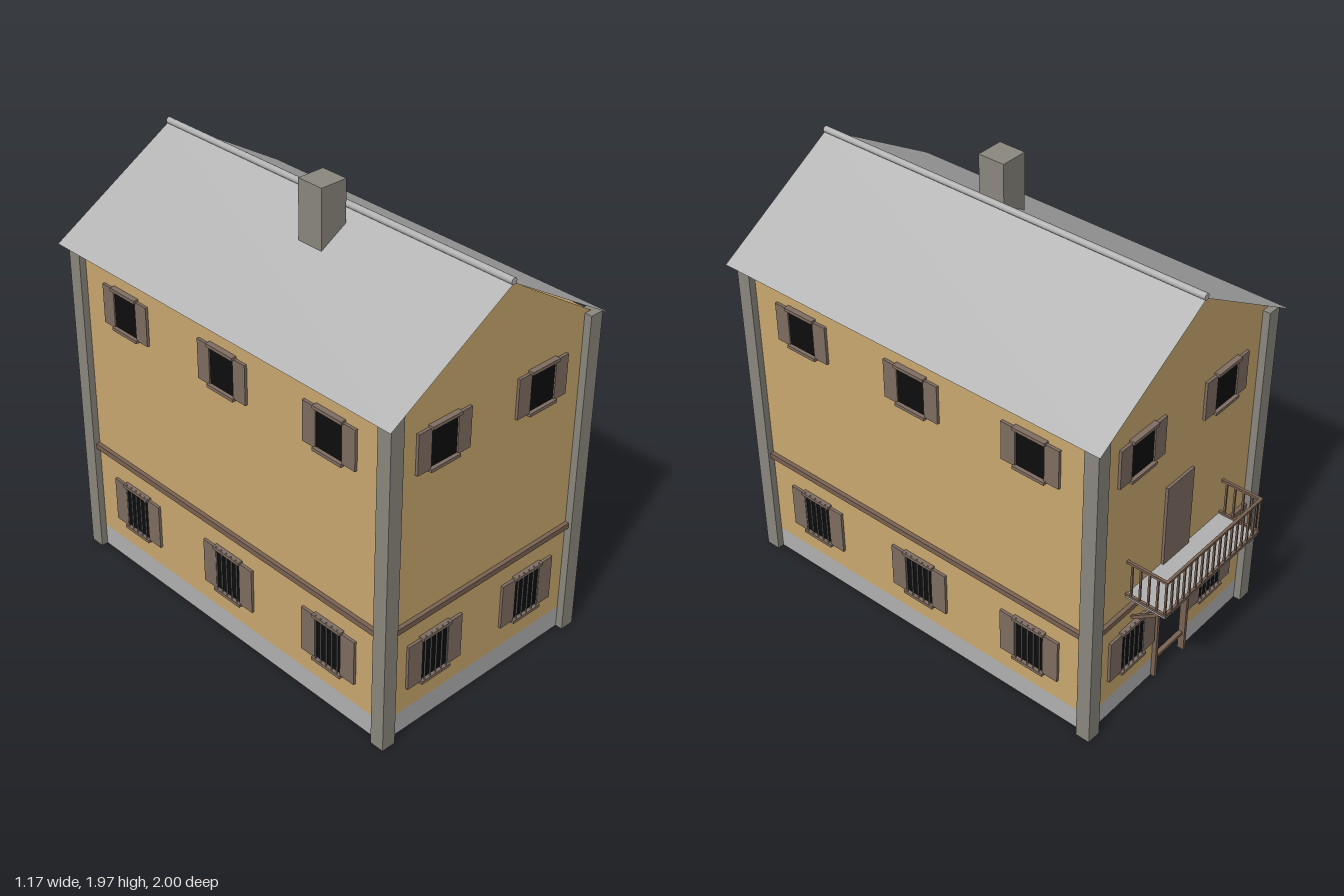
import * as THREE from 'three';

const DS = { side: THREE.DoubleSide };
const paint = (name, color, extra = {}) => {
  const m = new THREE.MeshStandardMaterial({ color, ...extra });
  m.name = name;
  return m;
};

export function createModel() {
  const plaster = paint('ochre plaster', 0xcaa970, DS);
  const slate = paint('light grey', 0xb2b2b2, DS);
  const stone = paint('grey stone', 0x8c887f);
  const wood = paint('brown wood', 0x806e62, DS);
  const trim = paint('dark brown trim', 0x7a6353);
  const glass = paint('black glass', 0x0d0d0d);
  const iron = paint('iron bars', 0x9a9a9a);

  const house = new THREE.Group();
  house.name = 'house';

  const add = (parent, name, geo, mat, x = 0, y = 0, z = 0) => {
    const m = new THREE.Mesh(geo, mat);
    m.name = name;
    m.position.set(x, y, z);
    parent.add(m);
    return m;
  };
  const box = (parent, name, mat, w, h, d, x, y, z) =>
    add(parent, name, new THREE.BoxGeometry(w, h, d), mat, x, y, z);

  const HX = 0.525, HZ = 0.875, CZ = 0.065; // wall half sizes and centre
  const EAVE = 1.49, APEX = 1.82, BASE = 0.1, DOOR = 0.1, DOOR_TOP = 0.45;

  // Window with open shutters; ground floor ones also get iron bars
  function addWindow(wall, u, y0, y1, width, shutter, barred) {
    const g = new THREE.Group();
    g.name = barred ? 'barredWindow' : 'window';
    g.position.set(u, (y0 + y1) / 2, 0);
    wall.add(g);
    const h = y1 - y0;
    box(g, 'pane', glass, width, h, 0.008, 0, 0, 0.004);
    for (const s of [-1, 1]) {
      box(g, 'shutter', wood, shutter, h, 0.012, s * (width + shutter) / 2, 0, 0.008);
      box(g, 'sill', wood, width + 0.015, 0.014, 0.024, 0, s * (h / 2 + 0.002), 0.012);
    }
    if (!barred) return;
    for (let i = -2; i <= 2; i++)
      add(g, 'bar', new THREE.CylinderGeometry(0.003, 0.003, h + 0.025, 6), iron, i * 0.03, 0.002, 0.018);
  }

  // One facade in local space: u along the wall, z outward
  function addFacade(name, half, gable, hasDoor, windows, angle, x, z) {
    const wall = new THREE.Group();
    wall.name = name;
    wall.rotation.y = angle;
    wall.position.set(x, 0, z);
    house.add(wall);

    const outline = [[-half, BASE]];
    if (hasDoor) outline.push([-DOOR, BASE], [-DOOR, DOOR_TOP], [DOOR, DOOR_TOP], [DOOR, BASE]);
    outline.push([half, BASE], [half, EAVE]);
    if (gable) outline.push([0, APEX]);
    outline.push([-half, EAVE]);
    const shape = new THREE.Shape(outline.map(([a, b]) => new THREE.Vector2(a, b)));
    add(wall, 'plasterWall', new THREE.ShapeGeometry(shape), plaster);

    // Plinth strip, broken at the door
    if (hasDoor) {
      const w = half - DOOR;
      for (const s of [-1, 1]) {
        add(wall, 'plinth', new THREE.PlaneGeometry(w, BASE), slate, s * (DOOR + w / 2), BASE / 2, 0);
        box(wall, 'doorJamb', trim, 0.014, DOOR_TOP, 0.03, s * DOOR, DOOR_TOP / 2, 0.005);
      }
      box(wall, 'doorLintel', trim, 2 * DOOR + 0.014, 0.014, 0.03, 0, DOOR_TOP, 0.005);
      box(wall, 'doorThreshold', trim, 2 * DOOR, 0.014, 0.02, 0, 0.09, 0);
      box(wall, 'balconyDoor', wood, 0.17, 0.39, 0.012, 0, 0.79, 0.006);
    } else {
      add(wall, 'plinth', new THREE.PlaneGeometry(2 * half, BASE), slate, 0, BASE / 2, 0);
    }

    box(wall, 'storeyBand', trim, 2 * half, 0.025, 0.018, 0, 0.523, 0.009);
    for (const u of windows) {
      addWindow(wall, u, 1.185, 1.36, 0.136, 0.068, false);
      addWindow(wall, u, 0.205, 0.412, 0.142, 0.075, true);
    }
    return wall;
  }

  const endWindows = [-0.262, 0.262], sideWindows = [-0.583, 0, 0.583];
  addFacade('frontWall', HX, true, false, endWindows, 0, 0, CZ + HZ);
  const back = addFacade('backWall', HX, true, true, endWindows, Math.PI, 0, CZ - HZ);
  addFacade('leftWall', HZ, false, false, sideWindows, Math.PI / 2, HX, CZ);
  addFacade('rightWall', HZ, false, false, sideWindows, -Math.PI / 2, -HX, CZ);

  // Corner pillars
  for (const sx of [-1, 1])
    for (const sz of [-1, 1])
      box(house, 'cornerPillar', stone, 0.065, EAVE, 0.065, sx * 0.5225, EAVE / 2, CZ + sz * HZ);

  // Floor between the storeys
  add(house, 'upperFloor', new THREE.PlaneGeometry(2 * HX, 2 * HZ).rotateX(-Math.PI / 2), wood, 0, 0.52, CZ);

  // Thin roof slopes with a round ridge
  const run = 0.587, rise = 0.353, top = 1.825, roofLen = 1.87;
  for (const s of [-1, 1]) {
    const geo = new THREE.PlaneGeometry(Math.hypot(run, rise), roofLen)
      .rotateX(-Math.PI / 2).rotateZ(-s * Math.atan2(rise, run));
    add(house, 'roofSlope', geo, slate, s * run / 2, top - rise / 2, CZ);
  }
  add(house, 'ridge', new THREE.CylinderGeometry(0.014, 0.014, roofLen, 10).rotateX(Math.PI / 2), slate, 0, 1.831, CZ);
  box(house, 'chimney', stone, 0.124, 0.33, 0.124, -0.12, 1.805, 0.17);

  // Balcony on the back wall
  const balcony = new THREE.Group();
  balcony.name = 'balcony';
  back.add(balcony);
  const W = 0.31, D = 0.185, FLOOR = 0.6, RAIL = 0.77, T = 0.008;
  box(balcony, 'balconySlab', slate, 2 * W, 0.016, D, 0, FLOOR - 0.008, D / 2);
  for (const y of [FLOOR + 0.004, RAIL]) {
    box(balcony, 'frontRail', trim, 2 * W + 0.012, 0.011, 0.012, 0, y, D - 0.001);
    for (const s of [-1, 1])
      box(balcony, 'sideRail', trim, 0.012, 0.011, D, s * W, y, D / 2);
  }
  const baluster = (x, z) =>
    box(balcony, 'baluster', trim, T, RAIL - FLOOR, T, x, (RAIL + FLOOR) / 2, z);
  for (let i = 0; i <= 16; i++) baluster(-W + i * W / 8, D - 0.002);
  for (const s of [-1, 1])
    for (let i = 0; i < 4; i++) baluster(s * W, D - 0.04 * (i + 1));

  // Diagonal struts under the balcony
  for (const x of [-0.27, 0, 0.27]) {
    const strut = box(balcony, 'strut', trim, 0.014, 0.014, 0.21, x, 0.518, 0.092);
    strut.rotation.x = -Math.atan2(0.12, 0.165);
  }

  return house;
}
